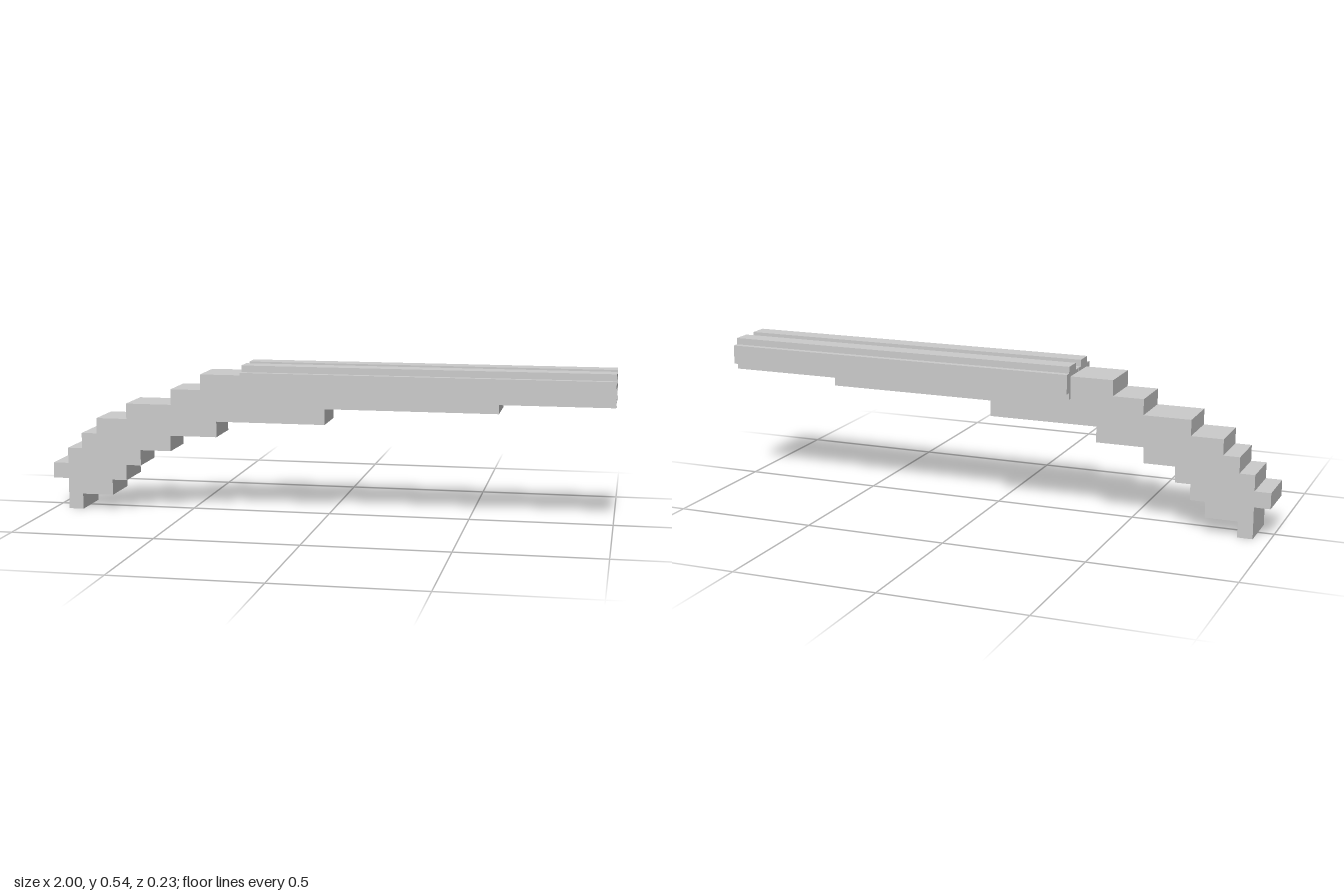
import * as THREE from 'three';

const grey = new THREE.MeshStandardMaterial({ color: 0xcccccc, flatShading: true });

// Box given by its limits on each axis
function box(name, x0, x1, y0, y1, z0, z1) {
  const mesh = new THREE.Mesh(new THREE.BoxGeometry(x1 - x0, y1 - y0, z1 - z0), grey);
  mesh.position.set((x0 + x1) / 2, (y0 + y1) / 2, (z0 + z1) / 2);
  mesh.name = name;
  return mesh;
}

// Stepped stock: start and end of each layer, from the bottom up
function createStock() {
  const layers = [
    [-0.944, -0.891], [-0.944, -0.778], [-1, -0.725], [-0.944, -0.671], [-0.891, -0.559],
    [-0.834, -0.39], [-0.722, 0], [-0.556, 0.607], [-0.447, 0.607],
  ];
  const step = 0.0557;
  const outline = [];
  layers.forEach(([, end], i) => {
    outline.push(new THREE.Vector2(end, i * step), new THREE.Vector2(end, (i + 1) * step));
  });
  for (let i = layers.length - 1; i >= 0; i--) {
    const start = layers[i][0];
    outline.push(new THREE.Vector2(start, (i + 1) * step), new THREE.Vector2(start, i * step));
  }
  const geometry = new THREE.ExtrudeGeometry(new THREE.Shape(outline), { depth: 0.166, bevelEnabled: false });
  geometry.translate(0, 0, -0.079);
  const stock = new THREE.Mesh(geometry, grey);
  stock.name = 'steppedStock';
  return stock;
}

// Square barrel: four plates around an open bore that is closed towards the rear
function createBarrel(name, z) {
  const barrel = new THREE.Group();
  barrel.name = name;
  const back = -0.295, front = 1, y = 0.48, bore = 0.034, outer = 0.0575;
  for (const s of [-1, 1]) {
    const a = Math.min(s * bore, s * outer), b = Math.max(s * bore, s * outer);
    barrel.add(box(s > 0 ? 'topPlate' : 'bottomPlate', back, front, y + a, y + b, -bore, bore));
    barrel.add(box(s > 0 ? 'leftPlate' : 'rightPlate', back, front, y - bore, y + bore, a, b));
  }
  barrel.add(box('breechBlock', back, 0.62, y - bore, y + bore, -bore, bore));
  barrel.position.z = z;
  return barrel;
}

export function createModel() {
  const model = new THREE.Group();
  model.name = 'doubleBarrelGun';
  model.add(createStock());
  model.add(createBarrel('frontBarrel', 0.0605));
  model.add(createBarrel('backBarrel', -0.059));
  return model;
}
